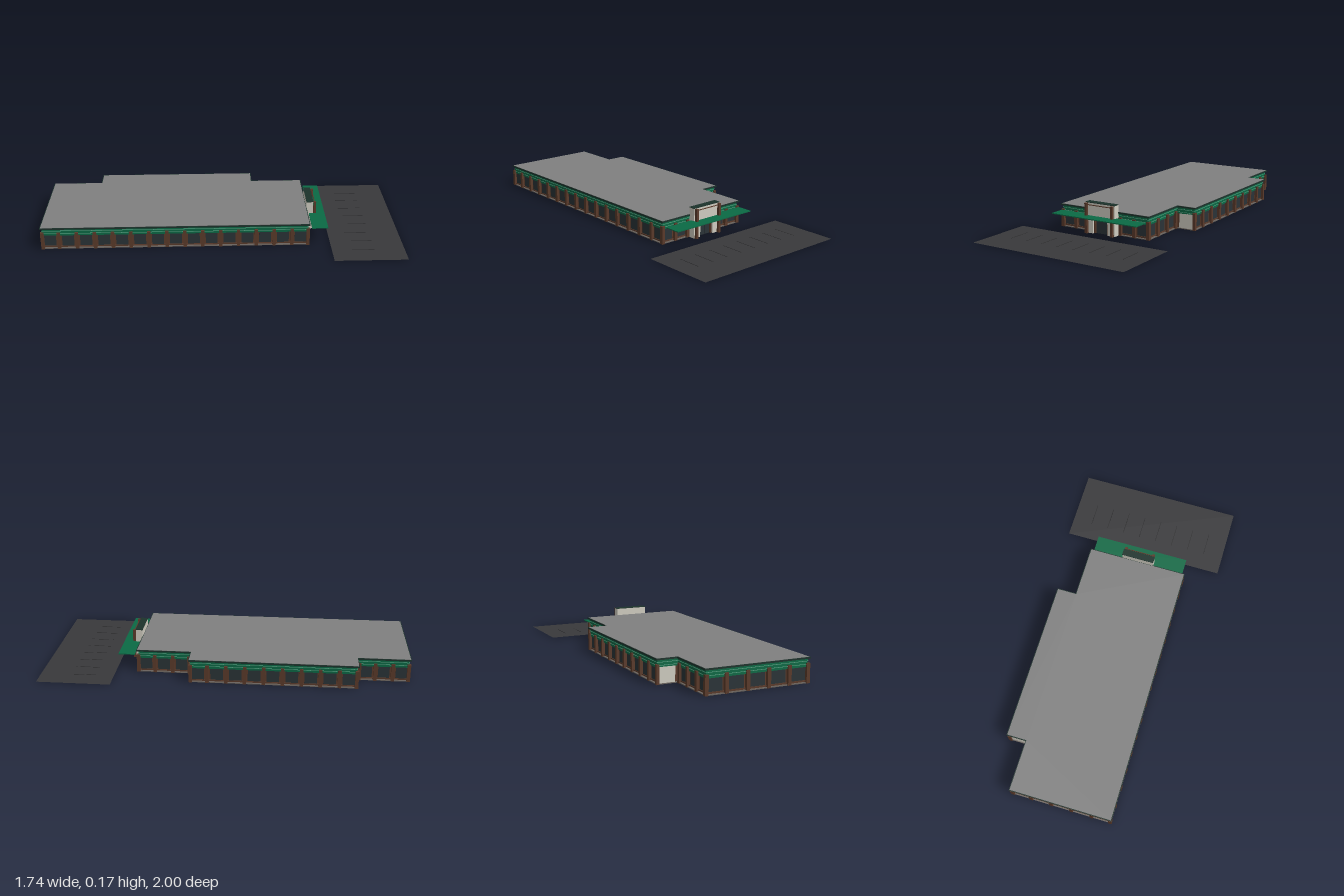
import * as THREE from 'three';

const paint = (color, side = THREE.FrontSide) =>
  new THREE.MeshStandardMaterial({ color, side });

export function createModel() {
  const brown = paint(0x5a3a2a), glass = paint(0x2a3337), green = paint(0x0b6a45);
  const mint = paint(0x5fa286), darkGreen = paint(0x1c322b), cream = paint(0xcfccc0);
  const roofGrey = paint(0x808080), floorGrey = paint(0x69625c);
  const asphalt = paint(0x39393b, THREE.DoubleSide), line = paint(0x29292b);

  const model = new THREE.Group();
  model.name = 'officeBuilding';

  // Site frame: x runs along the entrance wall, -z points out to the car park
  const site = new THREE.Group();
  site.name = 'site';
  site.position.set(0.205, 0, -0.325);
  site.rotation.y = -0.634;
  model.add(site);

  function box(parent, name, mat, w, h, d, x, y, z) {
    const m = new THREE.Mesh(new THREE.BoxGeometry(w, h, d), mat);
    m.name = name;
    m.position.set(x, y + h / 2, z); // y is the underside
    parent.add(m);
    return m;
  }

  // Footprint corners (x, z), clockwise from above
  const plan = [
    [-0.277, 0], [0.277, 0], [0.277, 1.435], [-0.277, 1.435],
    [-0.277, 1.163], [-0.384, 1.163], [-0.384, 0.288], [-0.277, 0.288],
  ];
  const outward = (p, q) => {
    const dx = q[0] - p[0], dz = q[1] - p[1], l = Math.hypot(dx, dz);
    return [dz / l, -dx / l];
  };

  // Slab with the footprint grown (or shrunk) by d
  function slab(name, mat, d, y, h) {
    const n = plan.length;
    const pts = plan.map((p, i) => {
      const a = outward(plan[(i + n - 1) % n], p), b = outward(p, plan[(i + 1) % n]);
      return new THREE.Vector2(p[0] + d * (a[0] + b[0]), -(p[1] + d * (a[1] + b[1])));
    });
    const g = new THREE.ExtrudeGeometry(new THREE.Shape(pts), { depth: h, bevelEnabled: false });
    g.rotateX(-Math.PI / 2);
    const m = new THREE.Mesh(g, mat);
    m.name = name;
    m.position.y = y;
    site.add(m);
  }

  slab('floor', floorGrey, -0.004, 0, 0.004);
  slab('wallCore', brown, -0.016, 0.004, 0.082);
  slab('fascia', green, -0.009, 0.082, 0.036);
  slab('lowerTrim', mint, -0.007, 0.089, 0.002);
  slab('upperTrim', mint, -0.007, 0.104, 0.002);
  slab('roofEdge', darkGreen, 0.001, 0.117, 0.008);
  slab('roof', roofGrey, -0.003, 0.125, 0.001);

  // One side from p to q, with local +z facing out
  function side(name, p, q) {
    const g = new THREE.Group();
    g.name = name;
    g.position.set((p[0] + q[0]) / 2, 0, (p[1] + q[1]) / 2);
    g.rotation.y = Math.atan2(q[1] - p[1], p[0] - q[0]);
    site.add(g);
    return [g, Math.hypot(q[0] - p[0], q[1] - p[1])];
  }

  // Row of windows between brown pillars
  function windowWall(name, p, q, bays) {
    const [g, len] = side(name, p, q);
    const pitch = len / bays, pillar = 0.018;
    for (let i = 0; i <= bays; i++) {
      const limit = (len - pillar) / 2;
      const x = THREE.MathUtils.clamp(-len / 2 + i * pitch, -limit, limit);
      box(g, 'pillar', brown, pillar, 0.096, 0.016, x, 0, -0.008);
      if (i === bays) break;
      const c = -len / 2 + (i + 0.5) * pitch;
      box(g, 'windowPane', glass, pitch - 0.032, 0.062, 0.004, c, 0.014, -0.0155);
      box(g, 'windowSill', brown, pitch - 0.018, 0.006, 0.007, c, 0.008, -0.0135);
      box(g, 'windowHead', green, pitch - 0.018, 0.005, 0.007, c, 0.077, -0.0135);
    }
  }

  function plainWall(name, p, q) {
    const [g, len] = side(name, p, q);
    box(g, 'plainPanel', cream, len - 0.012, 0.082, 0.008, 0, 0.002, -0.013);
  }

  windowWall('entranceWallRight', plan[0], [-0.09, 0], 2);
  windowWall('entranceWallLeft', [0.09, 0], plan[1], 2);
  windowWall('longWall', plan[1], plan[2], 15);
  windowWall('endWall', plan[2], plan[3], 5);
  windowWall('farShortWall', plan[3], plan[4], 3);
  plainWall('farStepWall', plan[4], plan[5]);
  windowWall('outsetWall', plan[5], plan[6], 9);
  plainWall('nearStepWall', plan[6], plan[7]);
  windowWall('nearShortWall', plan[7], plan[0], 3);

  // Entrance tower: two cheeks, a panel above and a recessed door
  const entrance = new THREE.Group();
  entrance.name = 'entrance';
  site.add(entrance);
  for (const s of [-1, 1]) {
    box(entrance, 'entranceCheek', cream, 0.045, 0.1, 0.04, s * 0.0675, 0, -0.015);
    box(entrance, 'entranceColumn', brown, 0.014, 0.162, 0.014, s * 0.08, 0, -0.045);
    box(entrance, 'doorJamb', brown, 0.008, 0.08, 0.012, s * 0.041, 0, -0.02);
    box(entrance, 'door', glass, 0.035, 0.075, 0.008, s * 0.0185, 0, -0.014);
  }
  box(entrance, 'doorHead', brown, 0.09, 0.008, 0.012, 0, 0.075, -0.02);
  box(entrance, 'towerPanel', cream, 0.18, 0.08, 0.036, 0, 0.083, -0.017);
  box(entrance, 'towerCap', darkGreen, 0.182, 0.003, 0.038, 0, 0.163, -0.017);
  box(entrance, 'columnBeam', brown, 0.16, 0.004, 0.004, 0, 0.152, -0.045);

  // Flat canopy over the walk
  box(site, 'canopy', green, 0.525, 0.005, 0.087, 0, 0.09, -0.0565);

  // Car park with bay lines
  const park = new THREE.Mesh(new THREE.PlaneGeometry(0.906, 0.39), asphalt);
  park.name = 'carPark';
  park.rotation.x = -Math.PI / 2;
  park.position.set(0, 0.001, -0.308);
  site.add(park);
  for (let i = 0; i < 8; i++)
    box(site, 'bayLine', line, 0.003, 0.001, 0.13, -0.343 + i * 0.098, 0.001, -0.275);

  return model;
}
